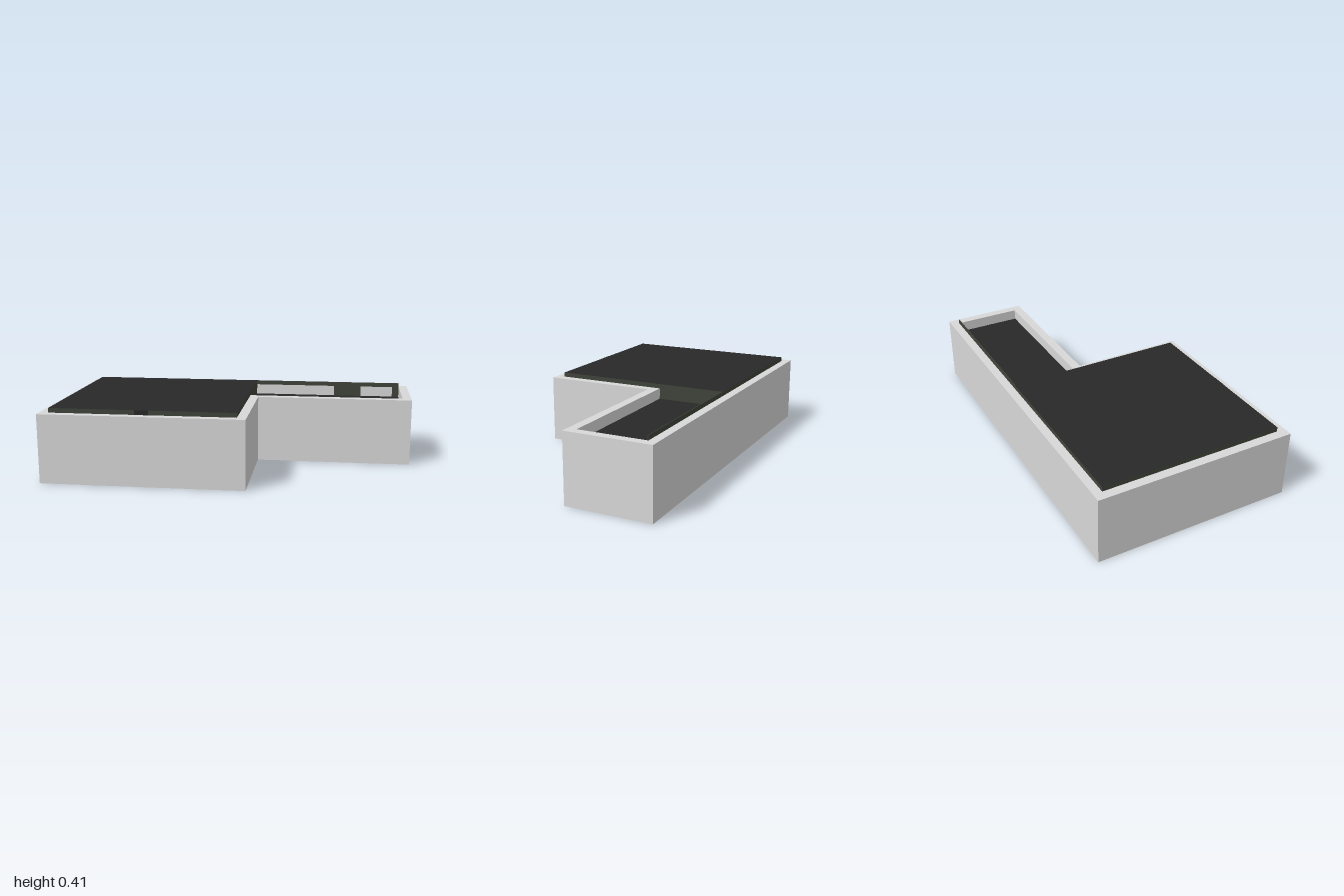
import * as THREE from 'three';

export function createModel() {
  const model = new THREE.Group();
  const mat = (name, color) => {
    const m = new THREE.MeshStandardMaterial({ color });
    m.name = name;
    return m;
  };
  const wallGrey = mat('wall grey', 0xd8d8d8);
  const roofBlack = mat('roof black', 0x282828);
  const innerOlive = mat('inner olive', 0x40443a);

  // Box given by its minimum and maximum corners
  const block = (name, min, max, material) => {
    const size = max.map((v, i) => v - min[i]);
    const mesh = new THREE.Mesh(new THREE.BoxGeometry(...size), material);
    mesh.position.set(...max.map((v, i) => (v + min[i]) / 2));
    mesh.name = name;
    model.add(mesh);
  };

  // L-shaped plan, drawn with y = -z
  const plan = (x0, x1, notchX, front, back, notchZ) => [
    [x0, -front], [notchX, -front], [notchX, -notchZ],
    [x1, -notchZ], [x1, -back], [x0, -back],
  ].map(([x, y]) => new THREE.Vector2(x, y));

  // Outer wall ring
  const outline = new THREE.Shape(plan(-1, 1, 0.115, 0.555, -0.555, -0.077));
  outline.holes.push(new THREE.Path(plan(-0.95, 0.95, 0.064, 0.507, -0.507, -0.127).reverse()));
  const ring = new THREE.ExtrudeGeometry(outline, { depth: 0.38, bevelEnabled: false });
  ring.rotateX(-Math.PI / 2);
  const walls = new THREE.Mesh(ring, wallGrey);
  walls.name = 'outerWalls';
  model.add(walls);

  // Main hall with flat roof, and the lower wing (faces: +x -x +y -y +z -z)
  const o = innerOlive;
  block('mainHall', [-0.95, 0.003, -0.507], [0.064, 0.405, 0.507], [o, o, roofBlack, wallGrey, o, o]);
  block('wing', [0.064, 0, -0.507], [0.95, 0.32, -0.127], [o, o, roofBlack, o, o, o]);

  // Dark patches on the underside of the main hall
  block('backFloorPatch', [-0.3, 0, -0.46], [0.064, 0.003, -0.2], o);
  block('frontFloorPatch', [-0.9, 0, 0.22], [0.03, 0.003, 0.47], o);

  // Thin back wall of the wing, rising above the outer wall
  block('wingBackWall', [0.064, 0.38, -0.507], [0.95, 0.405, -0.503], o);
  for (const [x0, x1] of [[0.55, 0.716], [0.91, 0.95]]) {
    block('wingWallPier', [x0, 0.32, -0.507], [x1, 0.38, -0.503], o);
  }

  // Top of the front door
  block('doorPanel', [-0.48, 0.38, 0.505], [-0.405, 0.405, 0.509], roofBlack);

  return model;
}
